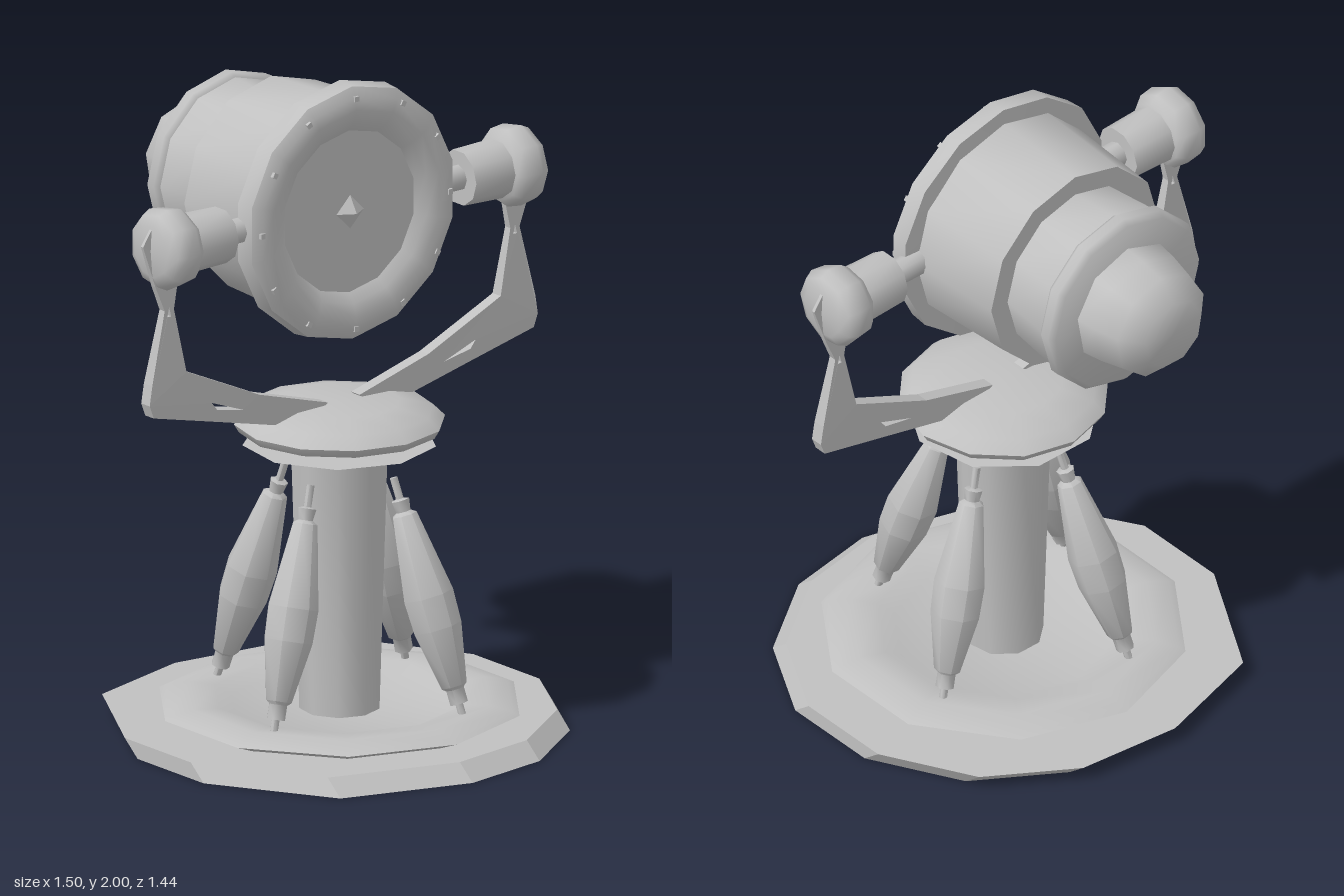
import * as THREE from 'three';
import { toCreasedNormals } from 'three/addons/utils/BufferGeometryUtils.js';

const AXIS_Z = 0.04;   // vertical axis of the pedestal
const LAMP_Y = 1.605;  // height of the lamp axis

export function createModel() {
  const model = new THREE.Group();
  model.name = 'searchlight';
  const grey = new THREE.MeshStandardMaterial({ color: 0xc0c0c0 });
  grey.name = 'grey metal';

  const add = (name, geometry, parent = model) => {
    const mesh = new THREE.Mesh(geometry, grey);
    mesh.name = name;
    parent.add(mesh);
    return mesh;
  };
  // Turned part: [radius, height] pairs from bottom to top
  const turned = (profile, sides, crease = 0.9) => toCreasedNormals(
    new THREE.LatheGeometry(profile.map(([r, h]) => new THREE.Vector2(r, h)), sides), crease);
  const group = (name, x, y, z) => {
    const g = new THREE.Group();
    g.name = name;
    g.position.set(x, y, z);
    model.add(g);
    return g;
  };

  // Ground plate: irregular polygon, its top edge shifted backwards
  const outline = [[0.66, 0.22], [0.66, -0.09], [0.51, -0.37], [0.25, -0.54], [-0.08, -0.575],
    [-0.44, -0.47], [-0.66, -0.09], [-0.66, 0.22], [-0.44, 0.59], [-0.04, 0.715], [0.25, 0.67], [0.51, 0.49]];
  const plateShape = new THREE.Shape(outline.map(([x, z]) => new THREE.Vector2(x, -z)));
  const plate = new THREE.ExtrudeGeometry(plateShape, { depth: 0.05, bevelEnabled: false });
  plate.rotateX(-Math.PI / 2);
  const pos = plate.attributes.position;
  for (let i = 0; i < pos.count; i++) pos.setZ(i, pos.getZ(i) - pos.getY(i) * 1.2);
  plate.computeVertexNormals();
  add('groundPlate', plate);

  const pedestal = group('pedestal', 0, 0, AXIS_Z);
  // Raised ring with a sunken floor
  add('baseRing', turned([[0, 0.04], [0.46, 0.045], [0.55, 0.08], [0.53, 0.09], [0.46, 0.105],
    [0.38, 0.1], [0.33, 0.075], [0, 0.06]], 10), pedestal);
  add('column', turned([[0, 0.06], [0.12, 0.06], [0.145, 0.88], [0, 0.88]], 9), pedestal);
  add('lowerDisc', turned([[0, 0.86], [0.16, 0.865], [0.29, 0.885], [0.16, 0.89], [0, 0.89]], 9), pedestal);
  add('turntable', turned([[0, 0.89], [0.2, 0.9], [0.3, 0.925], [0.315, 0.95], [0.28, 0.985],
    [0.18, 1.01], [0, 1.015]], 12), pedestal);

  // Four leaning struts, each a spindle with collars and pin ends
  const strutProfile = [[0, 0], [0.012, 0], [0.012, 0.035], [0.028, 0.035], [0.028, 0.08],
    [0.04, 0.09], [0.075, 0.27], [0.078, 0.37], [0.038, 0.62], [0.022, 0.63], [0.028, 0.665],
    [0.012, 0.67], [0.012, 0.735], [0, 0.735]];
  const strutGeometry = turned(strutProfile, 7);
  const up = new THREE.Vector3(0, 1, 0);
  for (let i = 0; i < 4; i++) {
    const angle = 0.4 + i * Math.PI / 2;
    const at = (r, y) => new THREE.Vector3(r * Math.sin(angle), y, r * Math.cos(angle));
    const foot = at(0.41, 0.1);
    const strut = add('strut', strutGeometry, pedestal);
    strut.position.copy(foot);
    strut.quaternion.setFromUnitVectors(up, at(0.18, 0.8).sub(foot).normalize());
  }

  // Yoke arm: flat bracket with two slots, thinner towards the top
  const armShape = new THREE.Shape([[0.06, 1.02], [0.14, 0.96], [0.47, 1.04], [0.72, 1.1], [0.735, 1.14],
    [0.725, 1.2], [0.672, 1.42], [0.705, 1.5], [0.748, 1.63], [0.7, 1.7], [0.61, 1.55], [0.637, 1.42],
    [0.595, 1.22], [0.32, 1.095]].map(([x, y]) => new THREE.Vector2(x, y)));
  const slots = [[[0.655, 1.43], [0.662, 1.4], [0.648, 1.4]], [[0.38, 1.06], [0.5, 1.105], [0.48, 1.08]]];
  for (const slot of slots) armShape.holes.push(new THREE.Path(slot.map(([x, y]) => new THREE.Vector2(x, y))));
  const armFor = (side) => {
    const geometry = new THREE.ExtrudeGeometry(armShape, { depth: 1, bevelEnabled: false });
    const p = geometry.attributes.position;
    for (let i = 0; i < p.count; i++) {
      const width = THREE.MathUtils.clamp(0.04 - Math.max(0, p.getY(i) - 1.2) * 0.07, 0.01, 0.04);
      p.setZ(i, (p.getZ(i) - 0.5) * width);
    }
    // A half turn mirrors the symmetric bracket
    if (side < 0) geometry.rotateY(Math.PI);
    geometry.computeVertexNormals();
    return geometry;
  };

  // Trunnion: shaft, bearing housing and rounded end knob
  const shaft = [[0, 0.32], [0.04, 0.32], [0.04, 0.46], [0, 0.46]];
  const housing = [[0, 0.45], [0.085, 0.45], [0.09, 0.61], [0, 0.61]];
  const knob = [[0, 0.59], [0.1, 0.595], [0.12, 0.62], [0.126, 0.67], [0.112, 0.7], [0.08, 0.715], [0, 0.72]];
  for (const side of [1, -1]) {
    const yoke = group(side > 0 ? 'leftYoke' : 'rightYoke', 0, 0, AXIS_Z);
    add('yokeArm', armFor(side), yoke);
    for (const [name, profile, sides] of [['shaft', shaft, 8], ['bearingHousing', housing, 10], ['endKnob', knob, 9]]) {
      const part = add(name, turned(profile, sides), yoke);
      part.rotation.z = -side * Math.PI / 2;
      part.position.y = 1.61;
    }
  }

  // Lamp: turned parts along the axis, heights run from front to back
  const lamp = group('lamp', 0, LAMP_Y, 0);
  const lampPart = (name, profile, sides) => {
    const g = turned(profile, sides);
    g.rotateX(-Math.PI / 2);
    add(name, g, lamp);
  };
  lampPart('frontRim', [[0.25, -0.085], [0.28, -0.108], [0.32, -0.12], [0.36, -0.118], [0.39, -0.1],
    [0.395, -0.04], [0.3, -0.035]], 14);
  lampPart('lens', [[0, -0.085], [0.26, -0.085]], 14);
  lampPart('drum', [[0.3, -0.05], [0.345, -0.04], [0.33, 0.28], [0, 0.28]], 12);
  lampPart('rearDrum', [[0.265, 0.27], [0.285, 0.46], [0, 0.46]], 12);
  lampPart('rearRing', [[0.25, 0.445], [0.285, 0.45], [0.297, 0.465], [0.297, 0.495], [0.28, 0.512], [0, 0.515]], 12);
  lampPart('rearCap', [[0.2, 0.5], [0.19, 0.58], [0.172, 0.66], [0.11, 0.72], [0, 0.722]], 9);

  // Centre boss and rim bolts
  const boss = add('lensBoss', new THREE.OctahedronGeometry(0.052), lamp);
  boss.scale.z = 0.6;
  boss.position.z = 0.09;
  const boltGeometry = new THREE.BoxGeometry(0.016, 0.016, 0.012);
  for (let i = 0; i < 12; i++) {
    const a = (i / 12) * Math.PI * 2;
    const bolt = add('rimBolt', boltGeometry, lamp);
    bolt.position.set(0.355 * Math.cos(a), 0.355 * Math.sin(a), 0.117);
    bolt.rotation.z = a;
  }
  return model;
}
